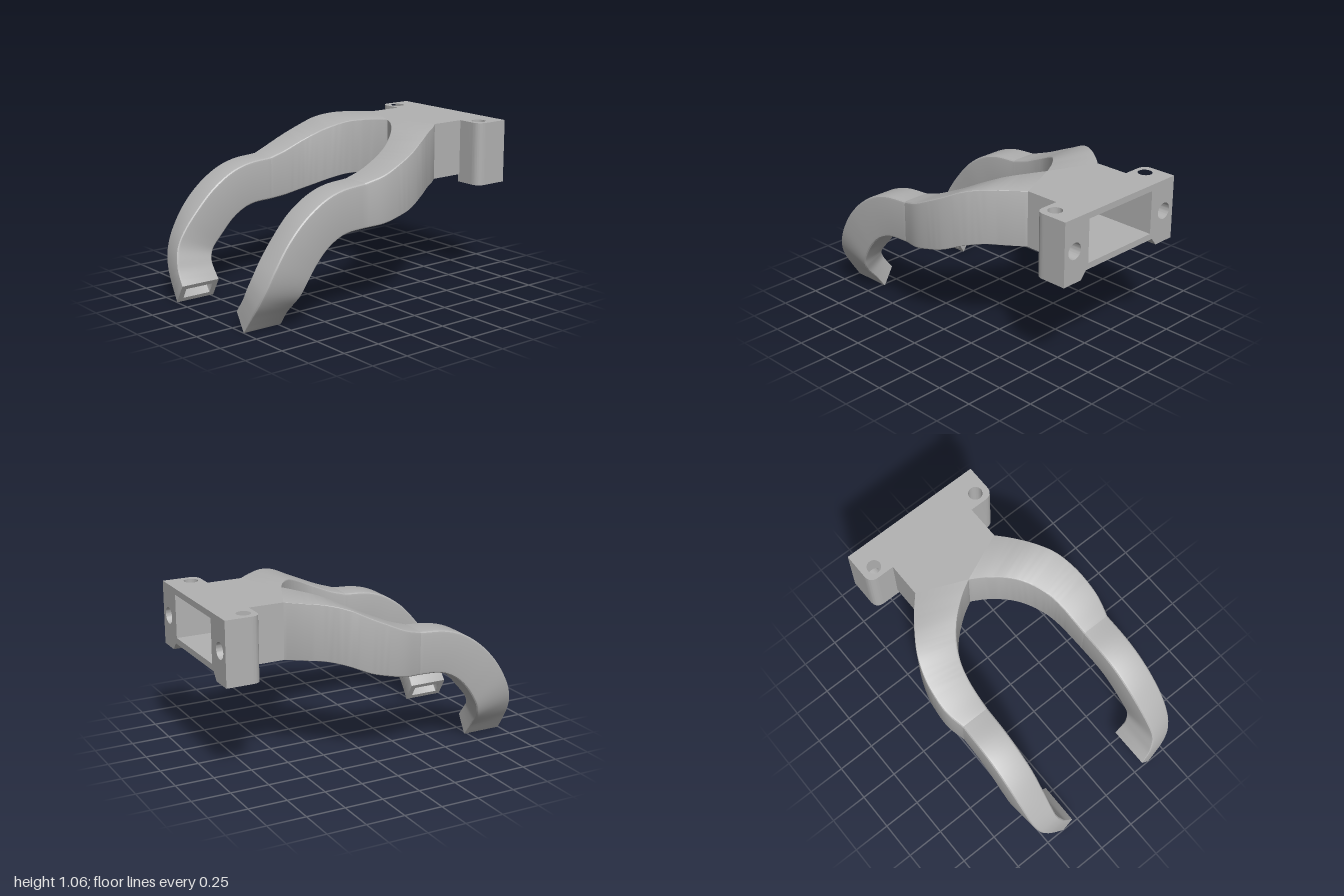
import * as THREE from 'three';
import { toCreasedNormals } from 'three/addons/utils/BufferGeometryUtils.js';

const V = (x, y, z) => new THREE.Vector3(x, y, z);

// Side profile of the shoulders: z, top y, bottom y
const PROFILE = [
  [-0.55, 1.06, 0.70], [-0.41, 1.06, 0.705], [-0.3, 1.053, 0.70], [-0.2, 1.02, 0.665], [-0.1, 0.97, 0.622],
  [0, 0.925, 0.595], [0.1, 0.88, 0.57], [0.2, 0.843, 0.556], [0.25, 0.833, 0.552],
];
// Shoulder plan: inner x, z, outer x, z
const SHOULDER = [
  [0, -0.41, 0.31, -0.545], [0.1, -0.35, 0.39, -0.455], [0.21, -0.26, 0.475, -0.34], [0.29, -0.165, 0.545, -0.225],
  [0.345, -0.06, 0.59, -0.1], [0.37, 0.04, 0.608, 0.02], [0.38, 0.14, 0.608, 0.13], [0.385, 0.25, 0.58, 0.25],
];
// Prong stations: top z, y, bottom z, y, inner x, outer x, rise of the inner side
const PRONG = [
  [0.25, 0.833, 0.25, 0.552, 0.385, 0.58, 0], [0.42, 0.818, 0.38, 0.545, 0.387, 0.582, 0],
  [0.56, 0.772, 0.47, 0.515, 0.39, 0.583, 0], [0.70, 0.68, 0.55, 0.46, 0.393, 0.583, 0],
  [0.82, 0.555, 0.62, 0.38, 0.40, 0.58, 0], [0.91, 0.41, 0.68, 0.28, 0.405, 0.57, 0.03],
  [0.96, 0.29, 0.705, 0.21, 0.40, 0.545, 0.06], [0.985, 0.19, 0.725, 0.15, 0.375, 0.50, 0.08],
  [0.995, 0.10, 0.73, 0.09, 0.35, 0.44, 0.10], [1, 0, 0.73, 0, 0.30, 0.37, 0.12],
];

function height(z, column) {
  let i = 0;
  while (i < PROFILE.length - 2 && PROFILE[i + 1][0] < z) i++;
  const a = PROFILE[i], b = PROFILE[i + 1];
  return THREE.MathUtils.mapLinear(z, a[0], b[0], a[column], b[column]);
}

// Corner order of every section: outer top, outer bottom, inner bottom, inner top
const shoulderSections = SHOULDER.map(([xi, zi, xo, zo]) => [
  V(xo, height(zo, 1), zo), V(xo, height(zo, 2), zo), V(xi, height(zi, 2), zi), V(xi, height(zi, 1), zi),
]);
const prongSections = PRONG.map(([zt, yt, zb, yb, xi, xo, rise]) => [
  V(xo, yt, zt), V(xo, yb, zb), V(xi, yb + rise, zb), V(xi, yt + rise, zt),
]);

// Smooth interpolation between sections
function sampler(sections) {
  const curves = [0, 1, 2, 3].map((k) => new THREE.CatmullRomCurve3(sections.map((s) => s[k]), false, 'catmullrom', 0.5));
  return (t) => curves.map((c) => c.getPoint(t));
}

// Four corners turned into a rounded outline
function roundedRing(corners, r) {
  const ring = [];
  corners.forEach((p, k) => {
    const toward = (q) => p.clone().add(q.clone().sub(p).setLength(r));
    const bend = new THREE.QuadraticBezierCurve3(toward(corners[(k + 3) % 4]), p, toward(corners[(k + 1) % 4]));
    ring.push(...bend.getPoints(3));
  });
  return ring;
}

function inset(c, m, n) {
  const at = (u, v) => c[0].clone().lerp(c[1], v).lerp(c[3].clone().lerp(c[2], v), u);
  return [at(m, n), at(m, 1 - n), at(1 - m, 1 - n), at(1 - m, n)];
}

// Skin over rings, with an optional cap on the last; side is 1 or -1 for mirroring
function loft(rings, side, cap) {
  const n = rings[0].length, pos = [], idx = [];
  const tri = (a, b, c) => (side > 0 ? idx.push(a, b, c) : idx.push(a, c, b));
  rings.forEach((ring) => ring.forEach((p) => pos.push(p.x * side, p.y, p.z)));
  for (let i = 0; i < rings.length - 1; i++) {
    for (let k = 0; k < n; k++) {
      const a = i * n + k, b = i * n + ((k + 1) % n);
      tri(a, a + n, b);
      tri(b, a + n, b + n);
    }
  }
  if (cap) {
    const s = (rings.length - 1) * n;
    for (let k = 1; k < n - 1; k++) tri(s, s + k + 1, s + k);
  }
  const g = new THREE.BufferGeometry();
  g.setAttribute('position', new THREE.Float32BufferAttribute(pos, 3));
  g.setIndex(idx);
  return toCreasedNormals(g, 0.5);
}

const polygon = (points) => new THREE.Shape(points.map(([x, y]) => new THREE.Vector2(x, y)));
const circle = (x, y, r) => new THREE.Path().absarc(x, y, r, 0, Math.PI * 2, true);
const opening = () => polygon([[-0.28, 0.74], [-0.28, 1.02], [0.28, 1.02], [0.28, 0.74]]);

function extrudeZ(shape, z0, z1) {
  return new THREE.ExtrudeGeometry(shape, { depth: z1 - z0, bevelEnabled: false, curveSegments: 24 }).translate(0, 0, z0);
}
// Plan shapes use (x, z)
function extrudeY(shape, y0, y1) {
  const g = new THREE.ExtrudeGeometry(shape, { depth: y1 - y0, bevelEnabled: false, curveSegments: 24 });
  return toCreasedNormals(g.rotateX(Math.PI / 2).translate(0, y1, 0), 0.5);
}

export function createModel() {
  const model = new THREE.Group();
  const grey = new THREE.MeshStandardMaterial({ color: 0xb2b2b2 });
  grey.name = 'grey plastic';
  const add = (name, geometry) => {
    const mesh = new THREE.Mesh(geometry, grey);
    mesh.name = name;
    model.add(mesh);
  };

  // Mounting flange with the socket opening and two bolt holes
  const flange = polygon([[-0.485, 0.65], [-0.34, 0.65], [-0.3, 0.70], [0.3, 0.70], [0.34, 0.65], [0.485, 0.65], [0.485, 1.06], [-0.485, 1.06]]);
  flange.holes.push(opening(), circle(-0.4, 0.855, 0.053), circle(0.4, 0.855, 0.053));
  add('flange', toCreasedNormals(extrudeZ(flange, -1, -0.9), 0.5));

  // Hollow neck and the wedge between the arms
  const neck = polygon([[-0.31, 0.70], [0.31, 0.70], [0.31, 1.06], [-0.31, 1.06]]);
  neck.holes.push(opening());
  add('neck', extrudeZ(neck, -0.9, -0.545));
  add('crotchWedge', extrudeY(polygon([[-0.31, -0.545], [0.31, -0.545], [0, -0.41]]), 0.70, 1.06));

  const shoulderAt = sampler(shoulderSections);
  const prongAt = sampler(prongSections);
  for (const side of [1, -1]) {
    const label = side > 0 ? 'left' : 'right';

    // Mounting ear with an upright hole and a rounded outer corner
    const ear = new THREE.Shape();
    ear.moveTo(0.3 * side, -0.9);
    ear.lineTo(0.485 * side, -0.9);
    ear.lineTo(0.485 * side, -0.835);
    ear.quadraticCurveTo(0.485 * side, -0.77, 0.42 * side, -0.77);
    ear.lineTo(0.3 * side, -0.77);
    ear.closePath();
    ear.holes.push(circle(0.4 * side, -0.845, 0.045));
    add(label + 'Ear', extrudeY(ear, 0.65, 1.06));

    // Shoulder sweeping out and down from the neck
    const shoulder = [];
    for (let i = 0; i <= 42; i++) shoulder.push(roundedRing(shoulderAt(i / 42), 0.002 + 0.018 * (i / 42)));
    add(label + 'Shoulder', loft(shoulder, side, false));

    // Hooked prong, ending in a recessed tip
    const prong = [];
    for (let i = 0; i <= 54; i++) prong.push(roundedRing(prongAt(i / 54), 0.02 - 0.015 * Math.max(0, i / 54 - 0.8) * 5));
    prong.push(roundedRing(inset(prongAt(1), 0.22, 0.14), 0.004));
    prong.push(roundedRing(inset(prongAt(0.9), 0.22, 0.14), 0.004));
    add(label + 'Prong', loft(prong, side, true));
  }
  return model;
}
